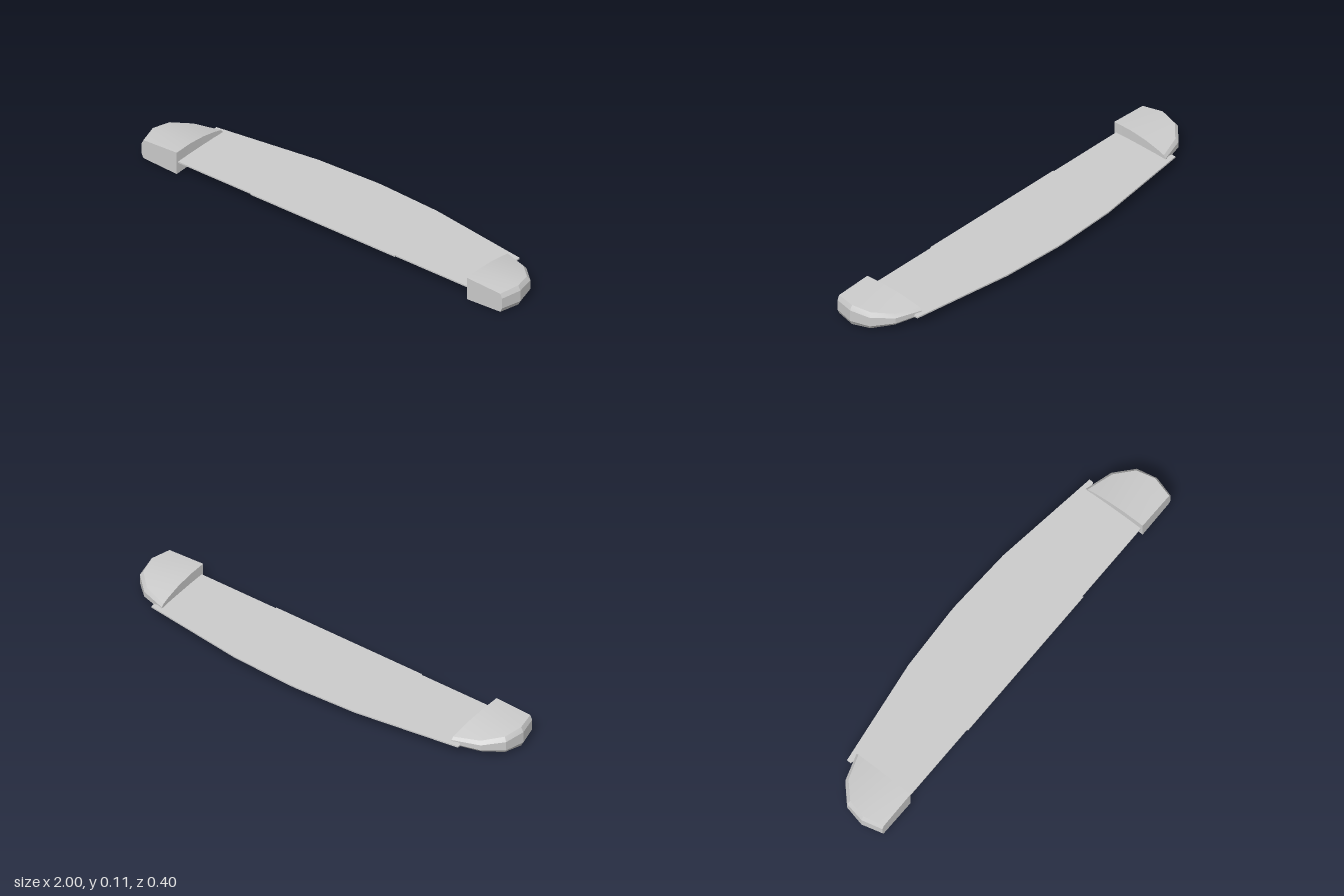
import * as THREE from 'three';
import { toCreasedNormals } from 'three/addons/utils/BufferGeometryUtils.js';

const MID = 0.0545; // height of the symmetry plane

// Stations from front to back:
// rim x, rim z, rim half height, bevel x, bevel z, bevel half height, inner x, inner half height
const STATIONS = [
  [0.975, 0.2, 0.025, 0.965, 0.2, 0.046, 0.785, 0.0545],
  [1.0, 0.105, 0.027, 0.988, 0.105, 0.049, 0.784, 0.0540],
  [0.98, 0.01, 0.022, 0.967, 0.017, 0.041, 0.781, 0.0455],
  [0.9, -0.065, 0.013, 0.892, -0.054, 0.028, 0.778, 0.0315],
  [0.775, -0.105, 0.009, 0.775, -0.094, 0.021, 0.775, 0.021],
];

// Tapered end block, lofted through six-point sections
function endCapGeometry(side) {
  const pos = [], idx = [];
  const tri = (a, b, c) => (side > 0 ? idx.push(a, b, c) : idx.push(a, c, b));
  for (const [rx, rz, rh, bx, bz, bh, ix, ih] of STATIONS) {
    const half = [[ix, ih, bz], [bx, bh, bz], [rx, rh, rz]];
    for (const [x, h, z] of half) pos.push(side * x, MID + h, z);
    for (const [x, h, z] of half.reverse()) pos.push(side * x, MID - h, z);
  }
  const last = (STATIONS.length - 1) * 6;
  for (let i = 0; i < last; i += 6) {
    for (let k = 0; k < 6; k++) {
      const a = i + k, b = i + (k + 1) % 6;
      tri(a, b, b + 6);
      tri(a, b + 6, a + 6);
    }
  }
  // Front and back closing faces
  for (let k = 1; k < 5; k++) {
    tri(0, k + 1, k);
    tri(last, last + k, last + k + 1);
  }
  const geo = new THREE.BufferGeometry();
  geo.setAttribute('position', new THREE.Float32BufferAttribute(pos, 3));
  geo.setIndex(idx);
  return toCreasedNormals(geo, 0.35);
}

// Thin blade with a bowed rear edge
function bladeGeometry() {
  const half = [[0.39, 0.195], [0.39, 0.19], [0.79, 0.19], [0.79, -0.09],
    [0.82, -0.1], [0.82, -0.12], [0.32, -0.189], [0.02, -0.203]];
  const mirrored = half.map(([x, z]) => [-x, z]).reverse();
  const shape = new THREE.Shape([...half, ...mirrored].map(([x, z]) => new THREE.Vector2(x, z)));
  const geo = new THREE.ExtrudeGeometry(shape, { depth: 0.007, bevelEnabled: false });
  return geo.rotateX(Math.PI / 2).translate(0, 0.059, 0);
}

export function createModel() {
  const group = new THREE.Group();
  const material = new THREE.MeshStandardMaterial({ color: 0xcccccc });
  const add = (name, geo) => {
    const mesh = new THREE.Mesh(geo, material);
    mesh.name = name;
    group.add(mesh);
  };
  add('blade', bladeGeometry());
  add('leftEndCap', endCapGeometry(1));
  add('rightEndCap', endCapGeometry(-1));
  return group;
}
